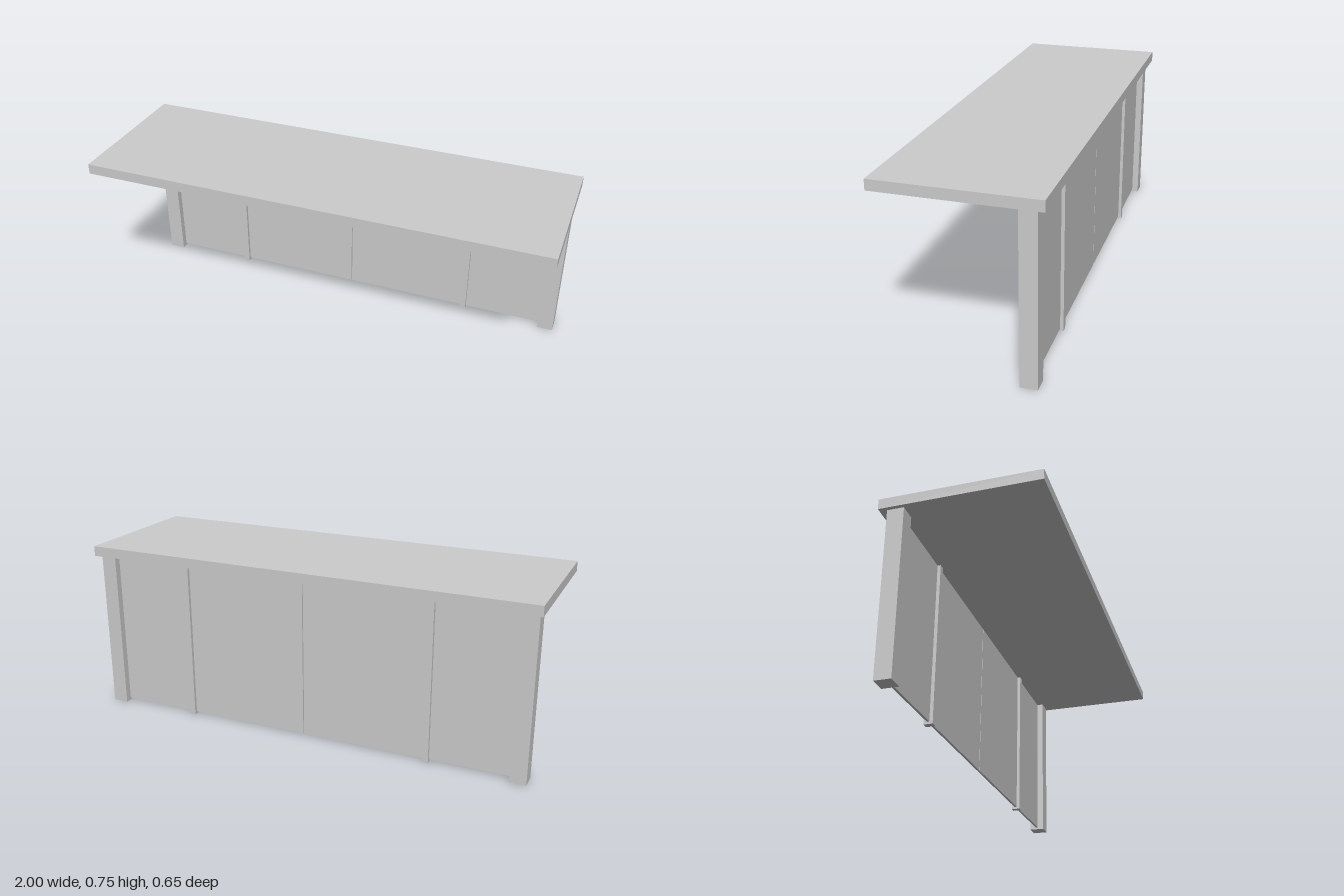
import * as THREE from 'three';

export function createModel() {
  const model = new THREE.Group();
  const material = new THREE.MeshStandardMaterial({ color: 0xcccccc, flatShading: true });

  // Box given by its low and high limits on each axis
  function box(name, [x0, x1], [y0, y1], [z0, z1]) {
    const mesh = new THREE.Mesh(new THREE.BoxGeometry(x1 - x0, y1 - y0, z1 - z0), material);
    mesh.position.set((x0 + x1) / 2, (y0 + y1) / 2, (z0 + z1) / 2);
    mesh.name = name;
    model.add(mesh);
  }

  const underside = 0.711;
  const wallZ = -0.26;
  const around = (depth) => [wallZ - depth / 2, wallZ + depth / 2];

  // Counter top, overhanging to the front
  box('counterTop', [-1, 1], [underside, 0.755], [-0.325, 0.325]);

  // Supporting wall, mirrored left and right
  for (const [side, s] of [['left', 1], ['right', -1]]) {
    const span = (a, b) => (s > 0 ? [a, b] : [-b, -a]);
    box(side + 'Post', span(0.915, 0.984), [0, underside], around(0.069));
    box(side + 'Mullion', span(0.546, 0.573), [0, underside], around(0.038));
    box(side + 'InnerPanel', span(0.002, 0.546), [0.01, underside], around(0.01));
    box(side + 'OuterPanel', span(0.573, 0.915), [0.01, underside], around(0.01));
  }

  return model;
}
